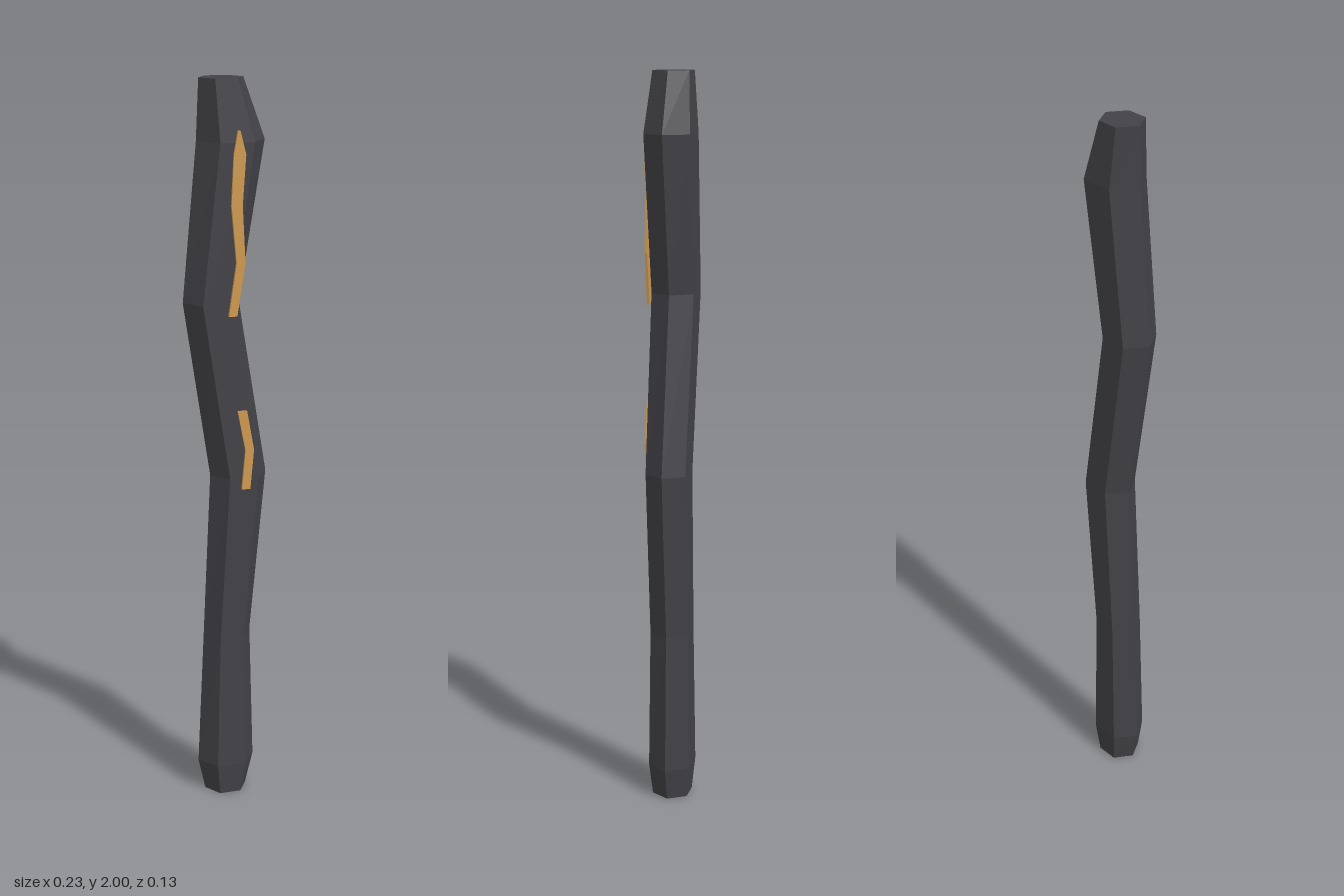
import * as THREE from 'three';

// Cross-sections of the shaft: [y, centre x, half width, half depth]
const SECTIONS = [
  [0, 0, 0.06, 0.049],
  [0.09, 0.001, 0.081, 0.057],
  [0.48, 0.004, 0.067, 0.053],
  [0.94, 0.036, 0.079, 0.055],
  [1.42, -0.04, 0.077, 0.058],
  [1.84, 0.014, 0.093, 0.062],
  [2, -0.012, 0.06, 0.049],
];
const SIDES = 6;
const CENTRE_Z = -0.003;

// Six-sided shaft lofted through the sections, with flat end caps
function shaftGeometry() {
  const positions = [];
  const index = [];
  for (const [y, cx, halfX, halfZ] of SECTIONS) {
    for (let i = 0; i < SIDES; i++) {
      const a = (i / SIDES) * Math.PI * 2;
      positions.push(cx + Math.cos(a) * halfX, y, CENTRE_Z + (Math.sin(a) * halfZ) / Math.sin(Math.PI / 3));
    }
  }
  for (let s = 0; s < SECTIONS.length - 1; s++) {
    for (let i = 0; i < SIDES; i++) {
      const a = s * SIDES + i;
      const b = s * SIDES + ((i + 1) % SIDES);
      index.push(a, a + SIDES, b, b, a + SIDES, b + SIDES);
    }
  }
  const top = (SECTIONS.length - 1) * SIDES;
  for (let i = 1; i < SIDES - 1; i++) {
    index.push(0, i, i + 1);
    index.push(top, top + i + 1, top + i);
  }
  const geometry = new THREE.BufferGeometry();
  geometry.setAttribute('position', new THREE.Float32BufferAttribute(positions, 3));
  geometry.setIndex(index);
  const flat = geometry.toNonIndexed();
  flat.computeVertexNormals();
  return flat;
}

// Thin jagged plate; rows are [y, left x, right x] from bottom to top
function crackGeometry(rows) {
  const right = rows.map(([y, , x]) => new THREE.Vector2(x, y));
  const left = rows.map(([y, x]) => new THREE.Vector2(x, y)).reverse();
  return new THREE.ExtrudeGeometry(new THREE.Shape([...right, ...left]), { depth: 0.007, bevelEnabled: false });
}

export function createModel() {
  const group = new THREE.Group();
  const wood = new THREE.MeshStandardMaterial({ color: 0x434247, flatShading: true });
  wood.name = 'charcoal wood';
  const gold = new THREE.MeshStandardMaterial({ color: 0xd09a50, flatShading: true });
  gold.name = 'amber';

  const shaft = new THREE.Mesh(shaftGeometry(), wood);
  shaft.name = 'shaft';
  group.add(shaft);

  // Glowing cracks on the front face
  const upper = new THREE.Mesh(crackGeometry([
    [1.39, -0.011, 0.012],
    [1.53, 0.01, 0.034],
    [1.68, -0.004, 0.026],
    [1.81, 0.002, 0.035],
    [1.87, 0.013, 0.02],
  ]), gold);
  upper.name = 'upperCrack';
  upper.position.z = 0.057;

  const lower = new THREE.Mesh(crackGeometry([
    [0.91, 0.028, 0.052],
    [1.02, 0.038, 0.062],
    [1.13, 0.016, 0.042],
  ]), gold);
  lower.name = 'lowerCrack';
  lower.position.z = 0.051;

  group.add(upper, lower);
  return group;
}
